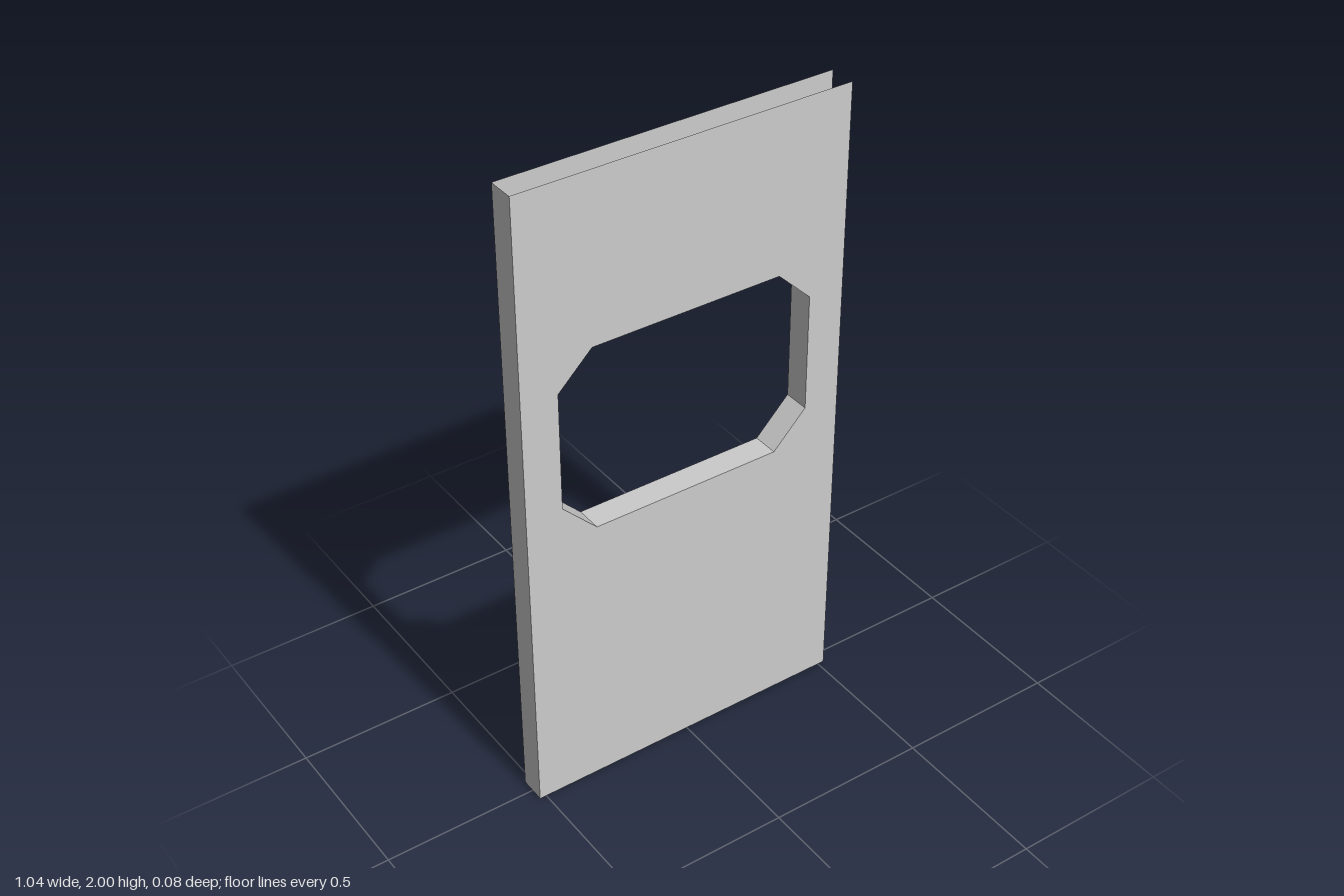
import * as THREE from 'three';
import { mergeGeometries } from 'three/addons/utils/BufferGeometryUtils.js';

const W = 0.521, H = 2, D = 0.041; // half width, height, half depth

// Octagonal window outline, counter-clockwise
const windowCorners = [
  [-0.3, 0.903], [0.3, 0.903], [0.407, 1.012], [0.407, 1.382],
  [0.3, 1.486], [-0.3, 1.486], [-0.407, 1.382], [-0.407, 1.012],
].map(([x, y]) => new THREE.Vector2(x, y));

export function createModel() {
  const model = new THREE.Group();
  const material = new THREE.MeshStandardMaterial({
    color: 0xcccccc, flatShading: true, side: THREE.DoubleSide,
  });
  const add = (name, geometry) => {
    const mesh = new THREE.Mesh(geometry, material);
    mesh.name = name;
    model.add(mesh);
    return mesh;
  };

  // Front and back skins with the window cut out
  const outline = new THREE.Shape([
    new THREE.Vector2(-W, 0), new THREE.Vector2(W, 0),
    new THREE.Vector2(W, H), new THREE.Vector2(-W, H),
  ]);
  outline.holes.push(new THREE.Path(windowCorners));
  const skin = new THREE.ShapeGeometry(outline);
  add('frontPanel', skin).position.z = D;
  const back = add('backPanel', skin);
  back.position.z = -D;
  back.rotation.y = Math.PI;

  // Lining between the skins: one strip per window edge, facing the opening
  const strips = windowCorners.map((a, i) => {
    const b = windowCorners[(i + 1) % windowCorners.length];
    return new THREE.PlaneGeometry(a.distanceTo(b), 2 * D)
      .rotateX(-Math.PI / 2)
      .rotateZ(Math.atan2(b.y - a.y, b.x - a.x))
      .translate((a.x + b.x) / 2, (a.y + b.y) / 2, 0);
  });
  add('windowLining', mergeGeometries(strips));

  // The only closed outer edge; top, bottom and the other side are open
  add('sideEdge', new THREE.PlaneGeometry(2 * D, H)
    .rotateY(-Math.PI / 2).translate(-W, H / 2, 0));

  return model;
}
